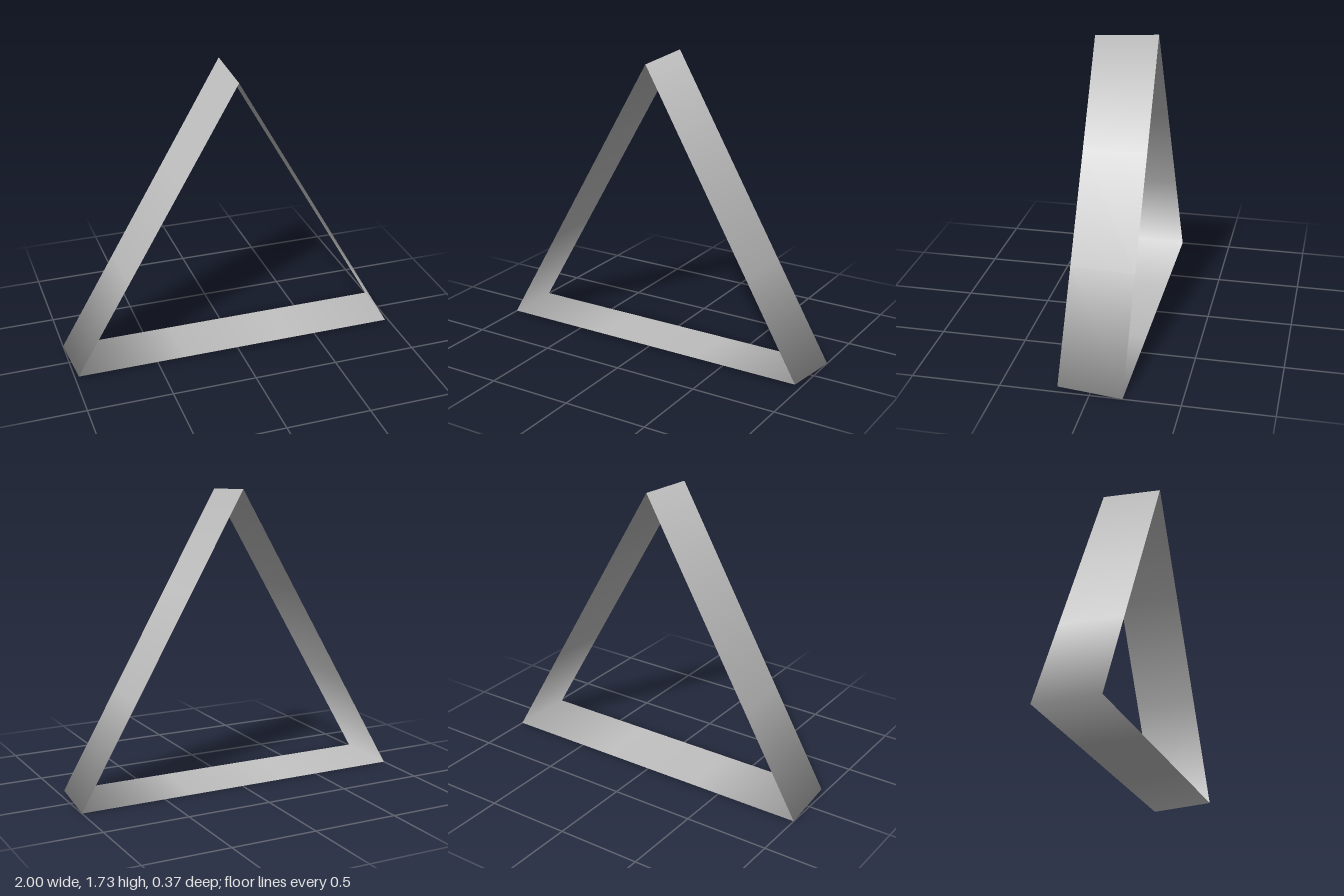
import * as THREE from 'three';

// Corners of the band, clockwise seen from the front: top, right, left
const back = [[0, 1.733], [1, 0], [-1, 0]];
const front = [[-0.003, 1.71], [0.97, 0.015], [-0.98, 0.015]];
const HALF_DEPTH = 0.183;
const SEGMENTS = 3; // per side, so the shading rounds off towards the corners

export function createModel() {
  const steel = new THREE.MeshStandardMaterial({ color: 0xc0c0c0, side: THREE.DoubleSide });
  steel.name = 'light grey';

  const mix = (p, q, t) => [p[0] + (q[0] - p[0]) * t, p[1] + (q[1] - p[1]) * t];
  const radial = (angle) => new THREE.Vector3(Math.sin(angle), Math.cos(angle), 0.035);
  const third = (Math.PI * 2) / 3;

  const positions = [], normals = [], indices = [];
  for (let side = 0; side < 3; side++) {
    const next = (side + 1) % 3;
    for (let i = 0; i <= SEGMENTS; i++) {
      const t = i / SEGMENTS;
      // Corners take the averaged normal, the middle nearly the face normal
      const turn = i === 0 ? 0 : i === SEGMENTS ? 1 : 0.5 + (t - 0.5) * 0.4;
      const n = radial((side + turn) * third).normalize();
      const base = positions.length / 3;
      positions.push(...mix(back[side], back[next], t), -HALF_DEPTH);
      positions.push(...mix(front[side], front[next], t), HALF_DEPTH);
      normals.push(n.x, n.y, n.z, n.x, n.y, n.z);
      if (i < SEGMENTS) {
        indices.push(base + 1, base + 3, base + 2, base + 1, base + 2, base);
      }
    }
  }

  // Open, slightly tapered triangular band
  const geometry = new THREE.BufferGeometry();
  geometry.setAttribute('position', new THREE.Float32BufferAttribute(positions, 3));
  geometry.setAttribute('normal', new THREE.Float32BufferAttribute(normals, 3));
  geometry.setIndex(indices);

  const band = new THREE.Mesh(geometry, steel);
  band.name = 'triangularBand';

  const group = new THREE.Group();
  group.name = 'triangleFrame';
  group.add(band);
  return group;
}
